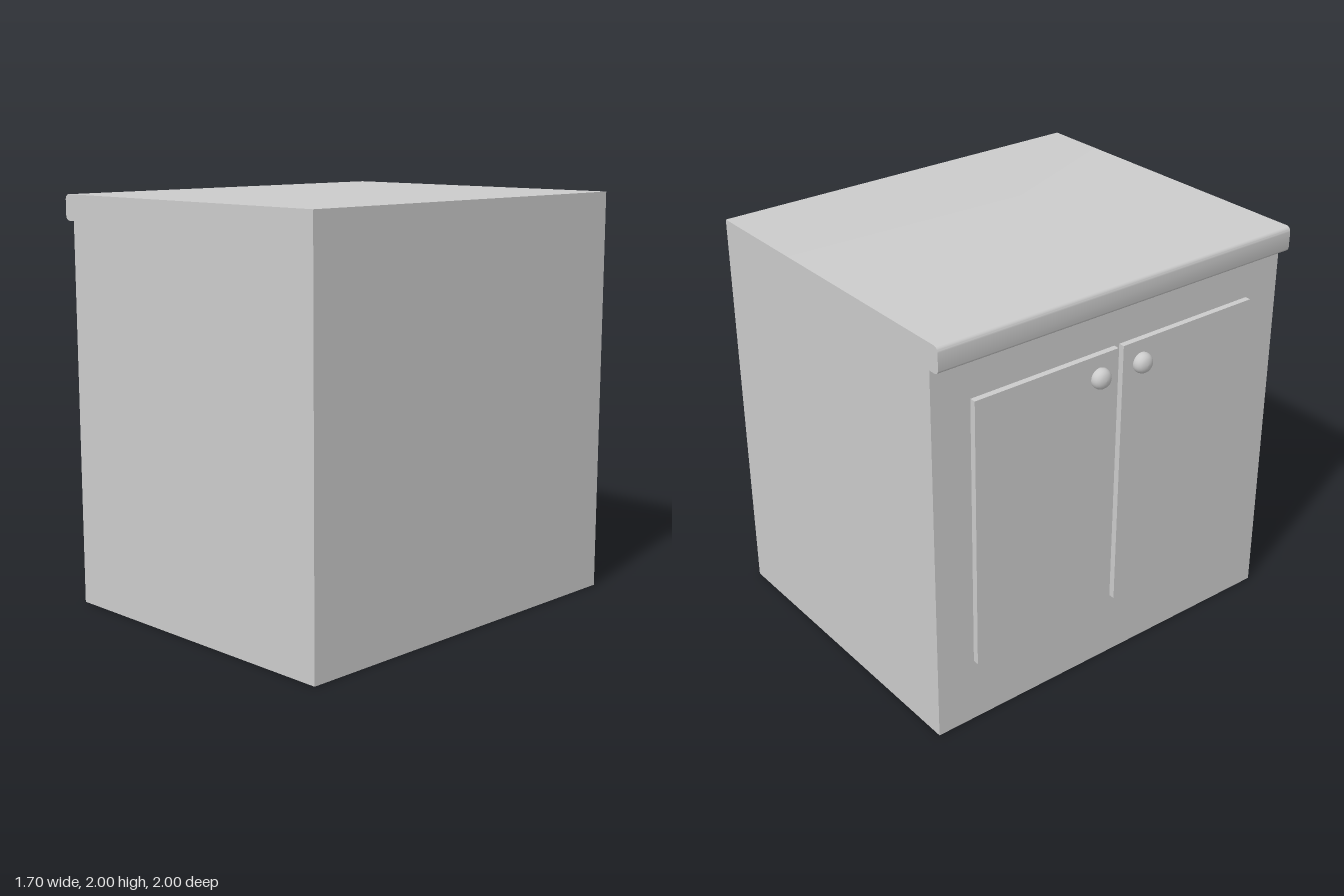
import * as THREE from 'three';
import { toCreasedNormals } from 'three/addons/utils/BufferGeometryUtils.js';

const material = new THREE.MeshStandardMaterial({ color: 0xcccccc, side: THREE.DoubleSide });

// Cabinet extents: doors face -x, the underside is open
const BACK = 0.85, FACE = -0.77, LIP = -0.83, DOOR = -0.8;
const TOP = 2, LIP_BOTTOM = 1.875, ROUND = 0.025;
const DOOR_LOW = 0.33, DOOR_HIGH = 1.68, DOOR_INNER = 0.015, DOOR_OUTER = 0.8;

function add(parent, name, geometry) {
  const mesh = new THREE.Mesh(geometry, material);
  mesh.name = name;
  parent.add(mesh);
  return mesh;
}

// Sweeps an open x/y profile across the full depth
function sweep(points) {
  const positions = [];
  for (let i = 0; i < points.length - 1; i++) {
    const a = points[i], b = points[i + 1];
    positions.push(
      a.x, a.y, -1, a.x, a.y, 1, b.x, b.y, 1,
      a.x, a.y, -1, b.x, b.y, 1, b.x, b.y, -1
    );
  }
  const geometry = new THREE.BufferGeometry();
  geometry.setAttribute('position', new THREE.Float32BufferAttribute(positions, 3));
  return toCreasedNormals(geometry, Math.PI / 7);
}

// Rounded corner of the worktop lip
function corner(cy, from, to) {
  const points = [];
  for (let i = 0; i <= 6; i++) {
    const t = from + (to - from) * i / 6;
    points.push(new THREE.Vector2(LIP + ROUND + ROUND * Math.cos(t), cy + ROUND * Math.sin(t)));
  }
  return points;
}

export function createModel() {
  const model = new THREE.Group();
  model.name = 'cabinet';

  // Worktop, lip and back wall in one sweep
  const profile = [
    new THREE.Vector2(FACE, LIP_BOTTOM),
    ...corner(LIP_BOTTOM + ROUND, Math.PI * 1.5, Math.PI),
    ...corner(TOP - ROUND, Math.PI, Math.PI / 2),
    new THREE.Vector2(BACK, TOP),
    new THREE.Vector2(BACK, 0)
  ];
  add(model, 'worktopAndBack', sweep(profile));

  // Side panels share the swept outline
  const outline = new THREE.Shape([...profile, new THREE.Vector2(FACE, 0)]);
  for (const side of [-1, 1]) {
    const panel = add(model, 'sidePanel', new THREE.ShapeGeometry(outline));
    if (side < 0) panel.rotation.x = Math.PI;
    if (side < 0) panel.scale.y = -1;
    panel.position.z = side;
  }

  // Face frame with two door openings, drawn in z/y and turned to face -x
  const frame = new THREE.Shape([
    new THREE.Vector2(-1, 0), new THREE.Vector2(1, 0),
    new THREE.Vector2(1, LIP_BOTTOM), new THREE.Vector2(-1, LIP_BOTTOM)
  ]);
  for (const side of [-1, 1]) {
    frame.holes.push(new THREE.Path([
      new THREE.Vector2(side * DOOR_INNER, DOOR_LOW),
      new THREE.Vector2(side * DOOR_INNER, DOOR_HIGH),
      new THREE.Vector2(side * DOOR_OUTER, DOOR_HIGH),
      new THREE.Vector2(side * DOOR_OUTER, DOOR_LOW)
    ]));
  }
  const faceFrame = add(model, 'faceFrame', new THREE.ShapeGeometry(frame));
  faceFrame.rotation.y = -Math.PI / 2;
  faceFrame.position.x = FACE;

  // Hollow raised doors with round knobs
  const knobProfile = [[0.048, 0], [0.05, 0.008], [0.049, 0.018], [0.045, 0.029],
    [0.037, 0.039], [0.026, 0.045], [0.013, 0.049], [0, 0.05]]
    .map(([r, h]) => new THREE.Vector2(r, h));
  for (const side of [-1, 1]) {
    const box = new THREE.BoxGeometry(FACE - DOOR, DOOR_HIGH - DOOR_LOW, DOOR_OUTER - DOOR_INNER);
    box.setIndex(Array.from(box.index.array).slice(6)); // leave the inner side open
    box.clearGroups();
    const door = add(model, 'door', box);
    door.position.set((FACE + DOOR) / 2, (DOOR_LOW + DOOR_HIGH) / 2, side * (DOOR_INNER + DOOR_OUTER) / 2);

    const knob = add(model, 'knob', new THREE.LatheGeometry(knobProfile, 24));
    knob.rotation.z = Math.PI / 2;
    knob.position.set(DOOR, 1.57, side * 0.122);
  }
  return model;
}
